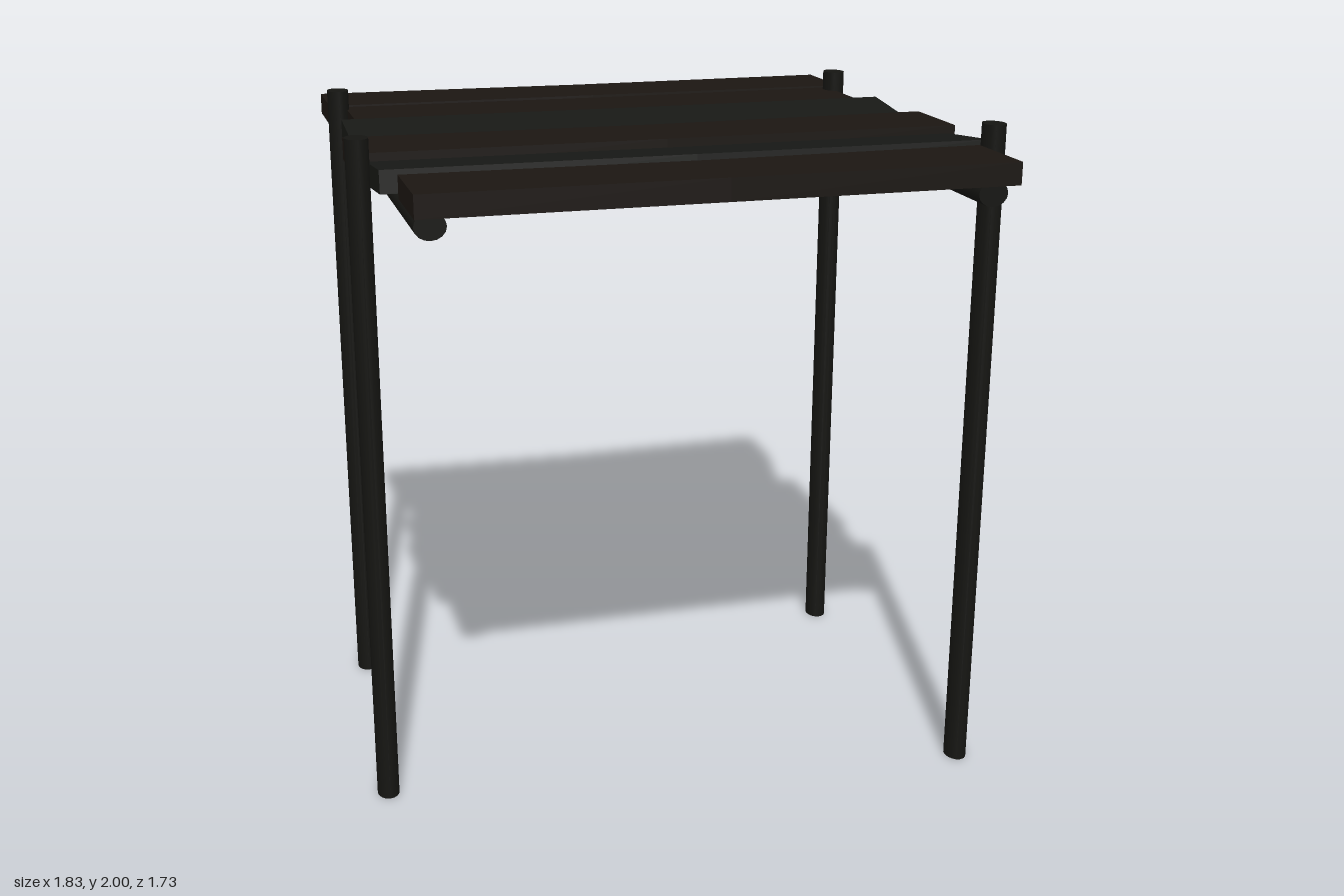
import * as THREE from 'three';

const material = (color) => new THREE.MeshStandardMaterial({ color });

// Plank lying along x; the middle of its back or front edge is worn inward.
function plankGeometry(length, thickness, depth, backWear, frontWear) {
  const geometry = new THREE.BoxGeometry(length, thickness, depth, 2, 1, 1).toNonIndexed();
  const p = geometry.attributes.position;
  for (let i = 0; i < p.count; i++) {
    if (Math.abs(p.getX(i)) > 0.01) continue;
    const z = p.getZ(i);
    p.setZ(i, z < 0 ? z + backWear : z - frontWear);
  }
  geometry.computeVertexNormals();
  return geometry;
}

export function createModel() {
  const model = new THREE.Group();
  model.name = 'shelter';
  const postWood = material(0x151512);
  const brownWood = material(0x1b1612);
  const greyWood = material(0x171815);

  const add = (name, geometry, mat, x, y, z) => {
    const mesh = new THREE.Mesh(geometry, mat);
    mesh.name = name;
    mesh.position.set(x, y, z);
    model.add(mesh);
    return mesh;
  };

  // Slightly oval posts, unevenly placed, rising past the roof
  const postGeometry = new THREE.CylinderGeometry(1, 1, 2, 16).scale(0.033, 1, 0.043);
  const posts = [
    ['backRightPost', -0.835, -0.525],
    ['backLeftPost', 0.83, -0.52],
    ['frontRightPost', -0.885, 0.357],
    ['frontLeftPost', 0.88, 0.595],
  ];
  for (const [name, x, z] of posts) add(name, postGeometry, postWood, x, 1, z);

  // Round beams running front to back under the planks
  const beamGeometry = new THREE.CylinderGeometry(1, 1, 1.665, 16)
    .rotateX(Math.PI / 2).scale(0.043, 0.036, 1);
  add('rightBeam', beamGeometry, postWood, -0.767, 1.851, 0.005);
  add('leftBeam', beamGeometry, postWood, 0.77, 1.851, 0.005);

  // Roof planks, back to front: x min, x max, z min, z max, y, tilt, back wear, front wear, wood
  const planks = [
    [-0.855, 0.88, -0.868, -0.6, 1.908, 0, 0.018, 0, brownWood],
    [-0.81, 0.825, -0.565, -0.298, 1.908, 0, 0.016, 0, brownWood],
    [-0.855, 0.88, -0.272, 0, 1.902, 0.11, 0.004, 0.016, greyWood],
    [-0.885, 0.91, 0.008, 0.278, 1.91, 0, 0.018, 0, brownWood],
    [-0.855, 0.88, 0.302, 0.573, 1.904, -0.1, 0.016, 0, greyWood],
    [-0.81, 0.838, 0.597, 0.863, 1.908, 0, 0.015, 0, brownWood],
  ];
  planks.forEach(([x0, x1, z0, z1, y, tilt, back, front, wood], i) => {
    const geometry = plankGeometry(x1 - x0, 0.064, z1 - z0, back, front);
    const plank = add(`roofPlank${i + 1}`, geometry, wood, (x0 + x1) / 2, y, (z0 + z1) / 2);
    plank.rotation.x = tilt;
  });

  return model;
}
